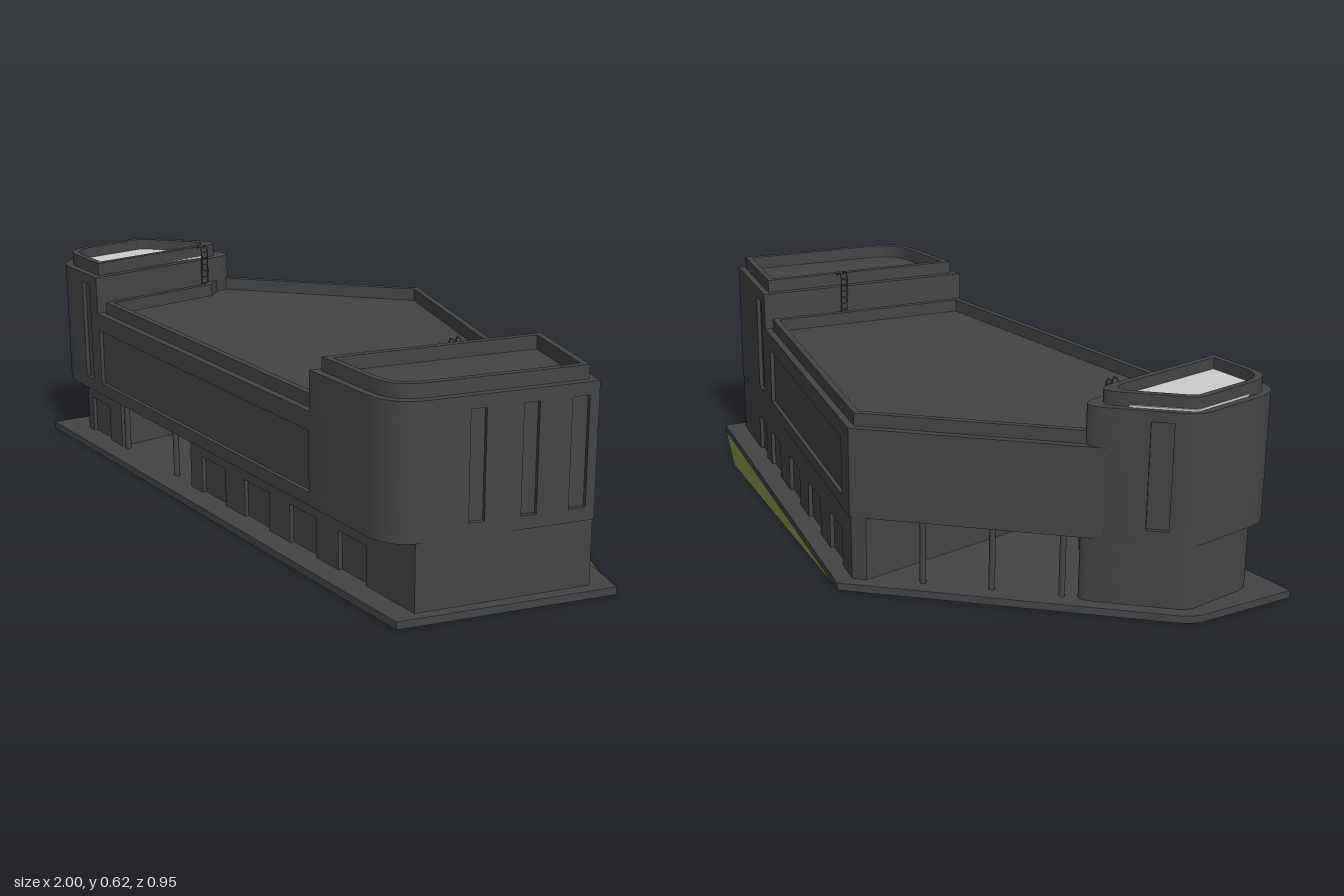
import * as THREE from 'three';
import { toCreasedNormals } from 'three/addons/utils/BufferGeometryUtils.js';

const material = (name, color) => {
  const m = new THREE.MeshStandardMaterial({ color });
  m.name = name;
  return m;
};

// Corners are [x, z, radius]; niches are { edgeIndex: [[start, end], ...] } as fractions of that edge.
function outline(corners, niches = {}, depth = 0.012) {
  const pts = [];
  const n = corners.length;
  const v = corners.map(([x, z]) => new THREE.Vector2(x, z));
  const side = signOf(v);
  for (let i = 0; i < n; i++) {
    const a = v[i], b = v[(i + 1) % n], prev = v[(i + n - 1) % n];
    const r = corners[i][2] || 0;
    if (r > 0) {
      const p = a.clone().add(prev.clone().sub(a).setLength(r));
      const q = a.clone().add(b.clone().sub(a).setLength(r));
      pts.push(...new THREE.QuadraticBezierCurve(p, a, q).getPoints(7));
    } else pts.push(a);
    const d = b.clone().sub(a).normalize();
    const inward = new THREE.Vector2(-d.y, d.x).multiplyScalar(side * depth);
    for (const [s, e] of niches[i] || []) {
      const p = a.clone().lerp(b, s), q = a.clone().lerp(b, e);
      pts.push(p, p.clone().add(inward), q.clone().add(inward), q);
    }
  }
  return pts.map(p => new THREE.Vector2(p.x, -p.y));
}

const signOf = v => Math.sign(THREE.ShapeUtils.area(v));

// Moves every edge of a plan inward by d.
function inset(corners, d) {
  const v = corners.map(([x, z]) => new THREE.Vector2(x, z));
  const s = signOf(v), n = v.length;
  return v.map((p, i) => {
    const u = p.clone().sub(v[(i + n - 1) % n]).normalize();
    const w = v[(i + 1) % n].clone().sub(p).normalize();
    const nu = new THREE.Vector2(-u.y, u.x), nw = new THREE.Vector2(-w.y, w.x);
    const m = nu.clone().add(nw).multiplyScalar((s * d) / (1 + nu.dot(nw)));
    return [p.x + m.x, p.y + m.y, Math.max(0, (corners[i][2] || 0) - d * 0.6)];
  });
}

export function createModel() {
  const model = new THREE.Group();
  model.name = 'building';
  const wall = material('dark stone', 0x444444);
  const pale = material('pale roof', 0xcccccc);
  const grass = material('grass', 0x4c5428);

  const add = (name, geometry, mat = wall) => {
    const mesh = new THREE.Mesh(geometry, mat);
    mesh.name = name;
    model.add(mesh);
    return mesh;
  };

  const prism = (name, points, y0, y1, mat = wall, hole = null) => {
    const shape = new THREE.Shape(points);
    if (hole) shape.holes.push(new THREE.Path(hole));
    const g = new THREE.ExtrudeGeometry(shape, { depth: y1 - y0, bevelEnabled: false });
    g.rotateX(-Math.PI / 2).translate(0, y0, 0);
    return add(name, toCreasedNormals(g, 0.5), mat);
  };

  // A storey is plain below and above its windows, with niches between.
  const storey = (name, plan, niches, [y0, w0, w1, y1]) => {
    if (w0 > y0) prism(name + 'Sill', outline(plan), y0, w0);
    prism(name + 'Windows', outline(plan, niches), w0, w1);
    prism(name + 'Head', outline(plan), w1, y1);
  };

  const parapet = (name, plan, y0, y1) =>
    prism(name, outline(inset(plan, 0.02)), y0, y1, wall, outline(inset(plan, 0.038)));

  // Paved base and grass verge
  prism('base', outline([[-1, 0.475], [0.82, 0.475], [1, -0.105], [-0.215, -0.48],
    [-0.93, 0.135], [-0.955, 0.175]]), 0, 0.022);
  const verge = new THREE.ShapeGeometry(new THREE.Shape(
    outline([[-0.215, -0.48], [1, -0.105], [0.725, -0.24]])));
  add('grassVerge', verge.rotateX(-Math.PI / 2).translate(0, 0.002, 0), grass);

  // Ground floor on both sides of the open passage
  const groundLevels = [0.02, 0.022, 0.135, 0.21];
  storey('groundFloor',
    [[-0.25, 0.41], [0.81, 0.41], [0.95, -0.055], [-0.215, -0.43], [-0.25, -0.405]],
    {
      0: [[0.061, 0.179], [0.274, 0.39], [0.486, 0.604], [0.698, 0.811]],
      2: [[0.17, 0.24], [0.29, 0.38], [0.47, 0.565], [0.645, 0.75], [0.83, 0.93]],
    }, groundLevels);
  storey('towerBase',
    [[-0.915, 0.41, 0.05], [-0.665, 0.41], [-0.665, -0.045, 0.08], [-0.915, 0.17, 0.03]],
    { 0: [[0.26, 0.7]] }, groundLevels);

  // Passage columns
  for (const [x, z] of [[-0.645, -0.04], [-0.5, -0.165], [-0.355, -0.29],
    [-0.645, 0.4], [-0.46, 0.2], [-0.35, 0.4]]) {
    add('passageColumn', new THREE.CylinderGeometry(0.009, 0.009, 0.19, 12)).position.set(x, 0.116, z);
  }

  // Main hall
  const hall = [[-0.665, 0.475], [0.455, 0.475], [0.64, -0.155], [-0.215, -0.435],
    [-0.74, 0.016], [-0.67, 0.1]];
  storey('hall', hall, { 0: [[0.005, 0.995]], 2: [[0.06, 0.92]] }, [0.208, 0.245, 0.415, 0.468]);
  parapet('hallParapet', hall, 0.468, 0.505);

  // Left tower with pale roof
  const leftTower = [[-0.92, 0.475, 0.09], [-0.665, 0.475], [-0.665, -0.048, 0.1], [-0.92, 0.171, 0.04]];
  storey('leftTower', leftTower, { 0: [[0.647, 0.824]], 2: [[0.62, 0.8]] }, [0.208, 0.245, 0.55, 0.58]);
  parapet('leftTowerParapet', leftTower, 0.58, 0.618);
  prism('leftTowerRoof', outline([[-0.9, 0.365], [-0.825, 0.445], [-0.685, 0.445], [-0.685, 0.09],
    [-0.77, 0.06], [-0.9, 0.175]]), 0.58, 0.586, pale);

  // Right tower
  const rightTower = [[0.455, 0.475], [0.79, 0.475, 0.1], [0.955, -0.055], [0.64, -0.155]];
  storey('rightTower', rightTower, {
    1: [[0.377, 0.453], [0.632, 0.708], [0.868, 0.953]],
    2: [[0.7, 0.88]],
  }, [0.208, 0.245, 0.545, 0.58]);
  parapet('rightTowerParapet', rightTower, 0.58, 0.618);

  // Roof ladders hooked over the tower parapets
  for (const [x, dir] of [[-0.658, -1], [0.562, 1]]) {
    for (const z of [0.083, 0.105]) {
      const rail = new THREE.CatmullRomCurve3([[0, 0.47], [0, 0.55], [0, 0.615], [0.01, 0.626], [0.022, 0.615]]
        .map(([o, y]) => new THREE.Vector3(x + dir * o, y, z)));
      add('ladderRail', new THREE.TubeGeometry(rail, 16, 0.002, 5));
    }
    for (let y = 0.485; y < 0.61; y += 0.02) {
      add('ladderRung', new THREE.BoxGeometry(0.003, 0.003, 0.022)).position.set(x, y, 0.094);
    }
  }
  return model;
}
